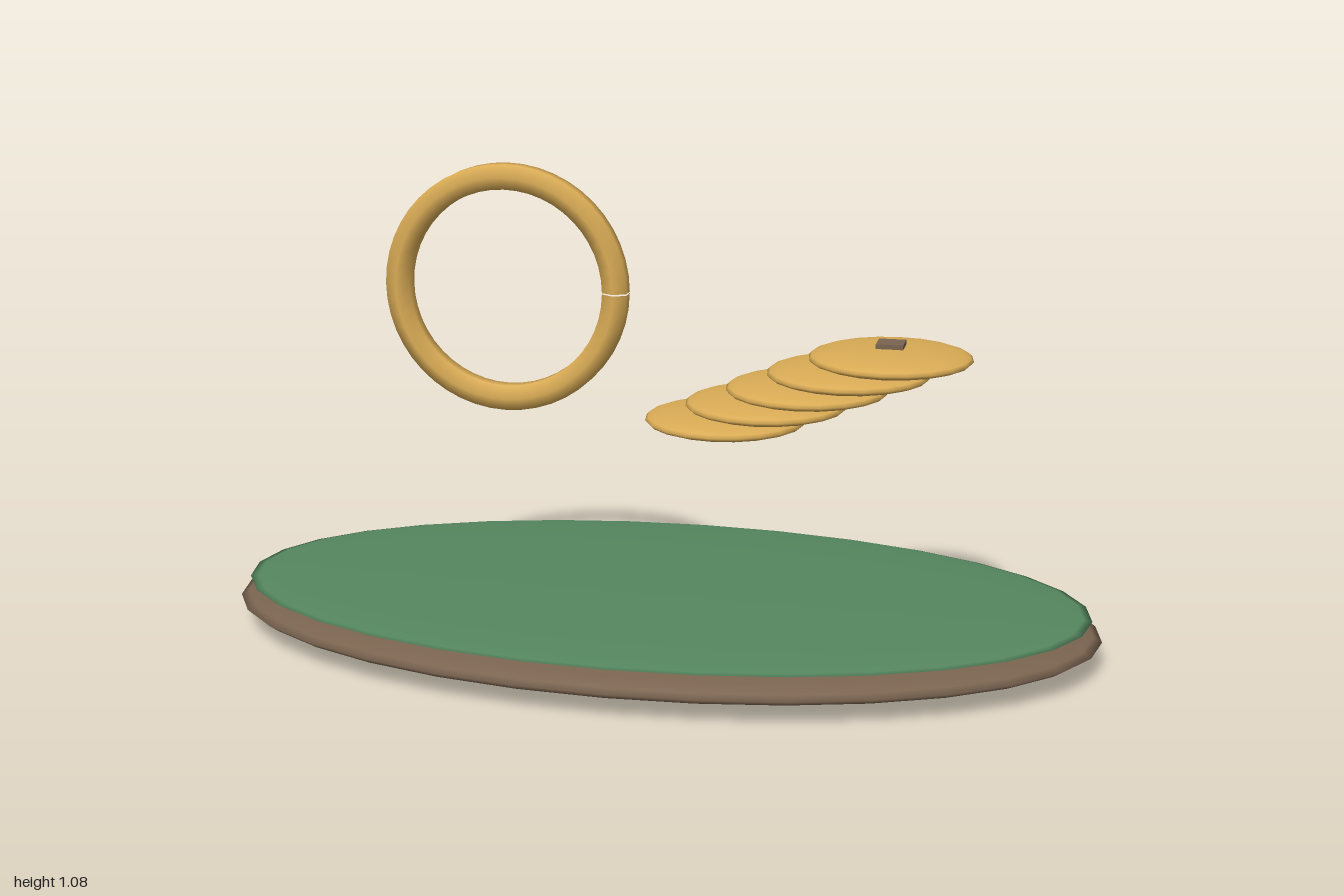
import * as THREE from 'three';

const paint = (color) => new THREE.MeshStandardMaterial({ color });
const gold = paint(0xd9ab55);
const green = paint(0x55875f);
const brown = paint(0x7a6450);

// A ball flattened into a lens
function lens(name, material, [rx, ry, rz], [x, y, z], around, rows) {
  const geometry = new THREE.SphereGeometry(1, around, rows).scale(rx, ry, rz);
  const mesh = new THREE.Mesh(geometry, material);
  mesh.name = name;
  mesh.position.set(x, y, z);
  return mesh;
}

// Circle with a hairline split at its +x side
class RingPath extends THREE.Curve {
  constructor(radius) {
    super();
    this.radius = radius;
  }
  getPoint(t, target = new THREE.Vector3()) {
    const a = t * 6.27;
    return target.set(this.radius * Math.cos(a), this.radius * Math.sin(a), 0);
  }
}

export function createModel() {
  const model = new THREE.Group();
  model.name = 'floatingRingAndCoins';

  // Oval ground: earth below, grass on top
  model.add(lens('earth', brown, [1, 0.058, 0.544], [0, 0.058, 0], 32, 16));
  model.add(lens('grass', green, [0.977, 0.018, 0.52], [0, 0.104, 0], 32, 16));

  // Upright six-sided ring
  const ring = new THREE.Mesh(new THREE.TubeGeometry(new RingPath(0.2525), 48, 0.0325, 6), gold);
  ring.name = 'ring';
  ring.position.set(-0.353, 0.797, 0);
  model.add(ring);

  // Rising fan of coins
  const coins = new THREE.Group();
  coins.name = 'coins';
  for (let i = 0; i < 5; i++) {
    coins.add(lens('coin', gold, [0.181, 0.026, 0.181], [0.151 + i * 0.0915, 0.521 + i * 0.0393, 0], 20, 12));
  }
  model.add(coins);

  // Square stud on the top coin
  const stud = new THREE.Mesh(new THREE.BoxGeometry(0.06, 0.012, 0.06), brown);
  stud.name = 'coinStud';
  stud.position.set(0.517, 0.708, 0);
  model.add(stud);

  return model;
}
